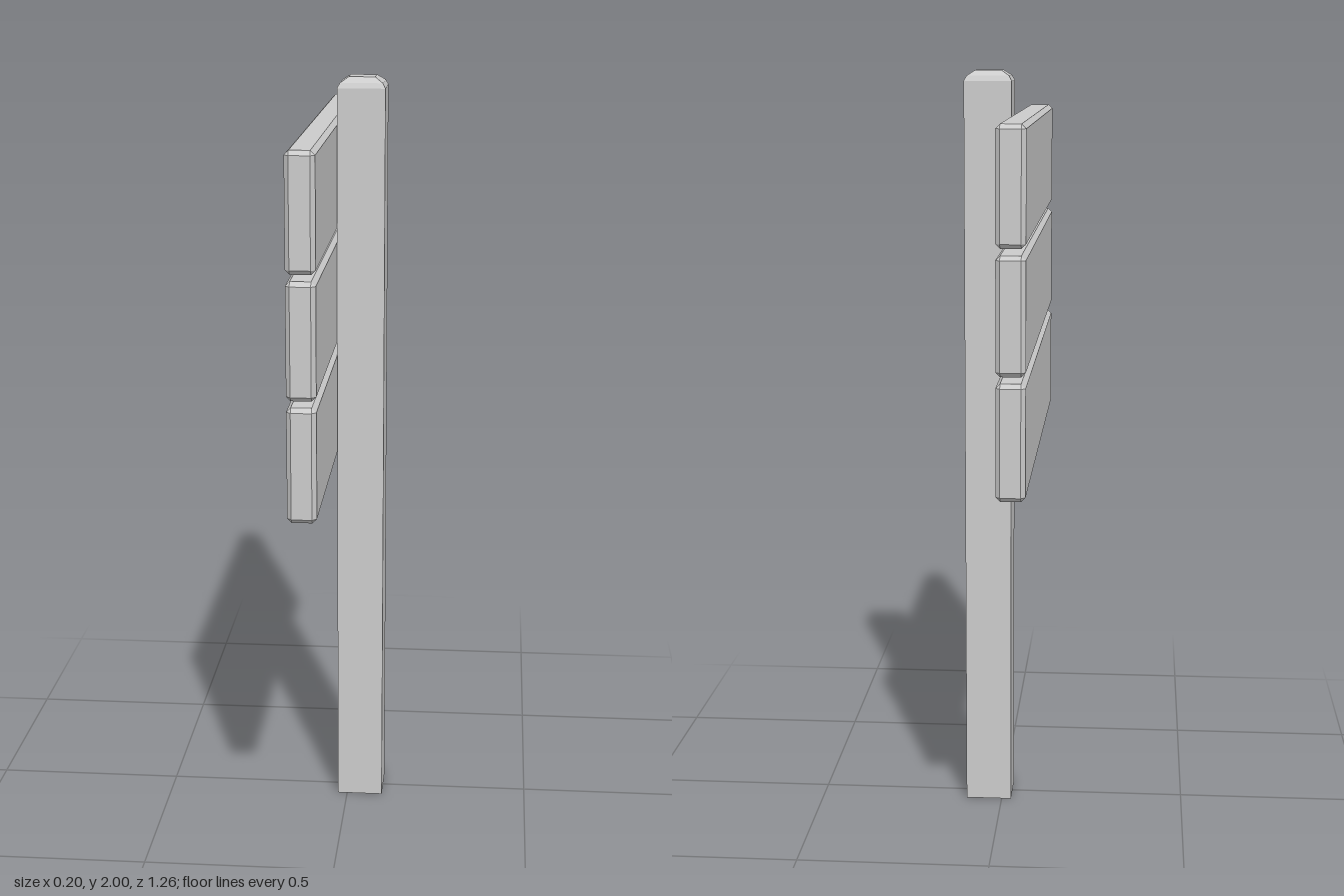
import * as THREE from 'three';
import { ConvexGeometry } from 'three/addons/geometries/ConvexGeometry.js';

const material = new THREE.MeshStandardMaterial({ color: 0xcccccc, flatShading: true });
const signs = [-1, 1];

// Box with every edge cut by a flat chamfer
function chamferBox(w, h, d, c) {
  const points = [];
  for (const x of signs) for (const y of signs) for (const z of signs) {
    const i = [w / 2 - c, h / 2 - c, d / 2 - c];
    points.push(
      new THREE.Vector3(x * w / 2, y * i[1], z * i[2]),
      new THREE.Vector3(x * i[0], y * h / 2, z * i[2]),
      new THREE.Vector3(x * i[0], y * i[1], z * d / 2));
  }
  return new ConvexGeometry(points);
}

// Square column from rings of [half width, height]
function squareColumn(rings) {
  const points = [];
  for (const [r, y] of rings) for (const x of signs) for (const z of signs) {
    points.push(new THREE.Vector3(x * r, y, z * r));
  }
  return new ConvexGeometry(points);
}

function addPart(group, name, geometry, x, y, z) {
  const mesh = new THREE.Mesh(geometry, material);
  mesh.name = name;
  mesh.position.set(x, y, z);
  group.add(mesh);
}

export function createModel() {
  const sign = new THREE.Group();
  sign.name = 'signpost';

  // Upright post with a softened top
  const post = squareColumn([[0.062, 0], [0.062, 1.973], [0.055, 1.986], [0.034, 2]]);
  addPart(sign, 'post', post, 0.036, 0, 0);

  // Three boards stacked on the post's right side
  const board = chamferBox(0.072, 0.287, 1.26, 0.011);
  ['lowerBoard', 'middleBoard', 'upperBoard'].forEach((name, i) => {
    addPart(sign, name, board, -0.063, 1.14 + i * 0.303, 0);
  });
  return sign;
}
